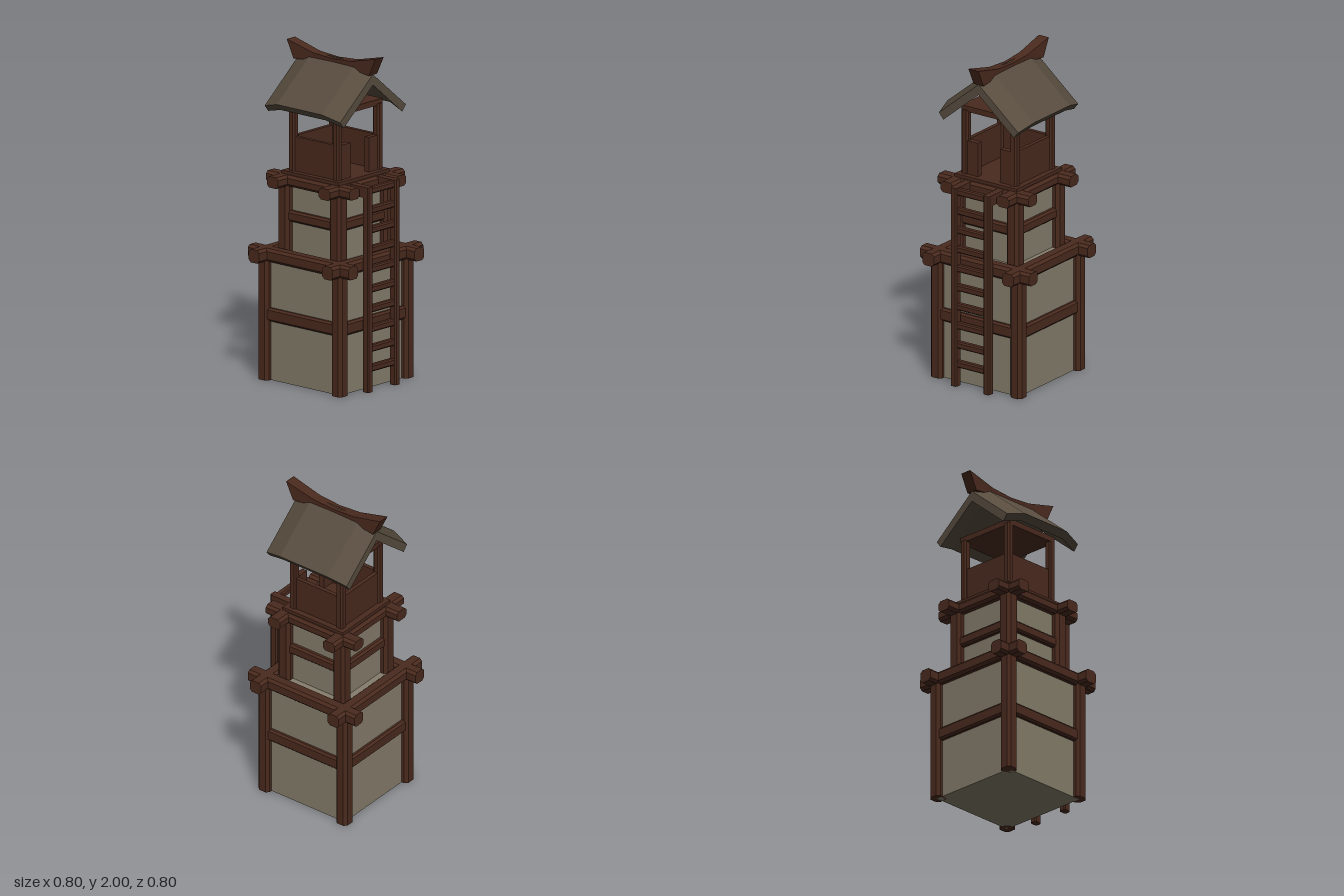
import * as THREE from 'three';

const mat = (color) => new THREE.MeshStandardMaterial({ color, flatShading: true });
const wood = mat(0x4a2a1e), plaster = mat(0x857d6b), shingle = mat(0x574c3e);

function add(parent, name, geometry, material, x = 0, y = 0, z = 0) {
  const mesh = new THREE.Mesh(geometry, material);
  mesh.name = name;
  mesh.position.set(x, y, z);
  parent.add(mesh);
  return mesh;
}

const box = (w, h, d) => new THREE.BoxGeometry(w, h, d);

// Timber with cut corners, centred, running along the given axis
function timber(a, b, length, cut, axis) {
  const x = a / 2, y = b / 2, s = new THREE.Shape();
  s.setFromPoints([
    [x, -y + cut], [x, y - cut], [x - cut, y], [-x + cut, y],
    [-x, y - cut], [-x, -y + cut], [-x + cut, -y], [x - cut, -y],
  ].map(([px, py]) => new THREE.Vector2(px, py)));
  const g = new THREE.ExtrudeGeometry(s, { depth: length, bevelEnabled: false });
  g.translate(0, 0, -length / 2);
  if (axis === 'x') g.rotateY(Math.PI / 2);
  if (axis === 'y') g.rotateX(Math.PI / 2);
  return g;
}

// Joins counter-clockwise cross-sections ordered by rising z; caps are quads of indices
function loft(sections, caps) {
  const pos = [];
  const quad = (a, b, c, d) => [a, b, c, a, c, d].forEach((p) => pos.push(...p));
  const n = sections[0].length, last = sections.length - 1;
  for (let s = 0; s < last; s++) {
    for (let i = 0; i < n; i++) {
      const j = (i + 1) % n, p = sections[s], q = sections[s + 1];
      quad(p[i], p[j], q[j], q[i]);
    }
  }
  for (const c of caps) {
    quad(...c.map((i) => sections[last][i]));
    quad(...[...c].reverse().map((i) => sections[0][i]));
  }
  const g = new THREE.BufferGeometry();
  g.setAttribute('position', new THREE.Float32BufferAttribute(pos, 3));
  g.computeVertexNormals();
  return g;
}

// One storey: plaster core, corner posts, middle rails and crossing top beams
function storey(parent, name, { y0, y1, core, post, postW, beamY, beamH, beamL, midY, midH }) {
  const g = new THREE.Group();
  g.name = name;
  parent.add(g);
  add(g, 'wall', box(core * 2, y1 - y0, core * 2), plaster, 0, (y0 + y1) / 2, 0);
  for (const s of [-1, 1]) {
    for (const t of [-1, 1]) {
      add(g, 'cornerPost', timber(postW, postW, beamY - y0, 0.018, 'y'), wood, s * post, (y0 + beamY) / 2, t * post);
    }
    add(g, 'topBeam', timber(postW, beamH, beamL, 0.016, 'x'), wood, 0, beamY, s * post);
    add(g, 'topBeam', timber(postW, beamH, beamL, 0.016, 'z'), wood, s * post, beamY, 0);
    add(g, 'middleRail', timber(0.06, midH, post * 2, 0.012, 'x'), wood, 0, midY, s * post);
    add(g, 'middleRail', timber(0.06, midH, post * 2, 0.012, 'z'), wood, s * post, midY, 0);
  }
}

function addLadder(parent) {
  const g = new THREE.Group();
  g.name = 'ladder';
  parent.add(g);
  for (const s of [-1, 1]) {
    add(g, 'ladderRail', timber(0.045, 0.05, 1.245, 0.008, 'y'), wood, s * 0.119, 0.6225, 0.357);
    add(g, 'ladderBracket', box(0.045, 0.065, 0.14), wood, s * 0.119, 1.2125, 0.28);
  }
  for (let i = 0; i < 10; i++) {
    add(g, 'rung', timber(0.04, 0.042, 0.2, 0.008, 'x'), wood, 0, 0.14 + i * 0.12, 0.355);
  }
}

function addLookout(parent) {
  const g = new THREE.Group();
  g.name = 'lookout';
  g.position.z = -0.003;
  parent.add(g);
  add(g, 'floor', box(0.45, 0.025, 0.45), wood, 0, 1.2525, 0);
  add(g, 'ceiling', box(0.4, 0.035, 0.38), wood, 0, 1.6725, 0);
  for (const s of [-1, 1]) {
    for (const t of [-1, 1]) {
      add(g, 'lookoutPost', timber(0.048, 0.048, 0.41, 0.01, 'y'), wood, s * 0.177, 1.46, t * 0.174);
    }
    add(g, 'sideParapet', box(0.025, 0.215, 0.33), wood, s * 0.177, 1.3675, 0);
    // Short front panels leave a doorway above the ladder
    add(g, 'frontParapet', box(0.08, 0.215, 0.035), wood, s * 0.121, 1.3675, 0.174);
  }
  add(g, 'backParapet', box(0.33, 0.215, 0.025), wood, 0, 1.3675, -0.174);
}

function addRoof(parent) {
  const g = new THREE.Group();
  g.name = 'roof';
  g.position.z = -0.006;
  parent.add(g);
  // Gabled shell, its ends dropped along the slope normals
  const nx = 0.636, ny = 0.772;
  const section = ([z, drop]) => {
    const at = (d) => [0.315 - nx * d, 1.687 - ny * d, 1.947 - d / ny];
    const [ox, oy, oa] = at(drop), [ix, iy, ia] = at(drop + 0.05);
    return [[ox, oy, z], [0, oa, z], [-ox, oy, z], [-ix, iy, z], [0, ia, z], [ix, iy, z]];
  };
  const stations = [[-0.298, 0.042], [-0.178, 0], [0.178, 0], [0.298, 0.042]];
  add(g, 'roofShell', loft(stations.map(section), [[0, 1, 4, 5], [1, 2, 3, 4]]), shingle);
  // Ridge beam sweeping up to slanted ends: top z, top y, bottom z, bottom y, half width
  const ridge = [
    [-0.35, 2, -0.298, 1.89, 0.036], [-0.15, 1.952, -0.15, 1.905, 0.031],
    [0, 1.942, 0, 1.91, 0.029],
    [0.15, 1.952, 0.15, 1.905, 0.031], [0.35, 2, 0.298, 1.89, 0.036],
  ].map(([tz, ty, bz, by, w]) => [[w, by, bz], [w, ty, tz], [-w, ty, tz], [-w, by, bz]]);
  add(g, 'ridgeBeam', loft(ridge, [[0, 1, 2, 3]]), wood);
}

export function createModel() {
  const model = new THREE.Group();
  model.name = 'watchtower';
  storey(model, 'lowerStorey', {
    y0: 0, y1: 0.78, core: 0.295, post: 0.29, postW: 0.083,
    beamY: 0.762, beamH: 0.08, beamL: 0.795, midY: 0.4, midH: 0.08,
  });
  storey(model, 'upperStorey', {
    y0: 0.76, y1: 1.235, core: 0.205, post: 0.204, postW: 0.088,
    beamY: 1.212, beamH: 0.068, beamL: 0.66, midY: 0.997, midH: 0.066,
  });
  addLadder(model);
  addLookout(model);
  addRoof(model);
  return model;
}
